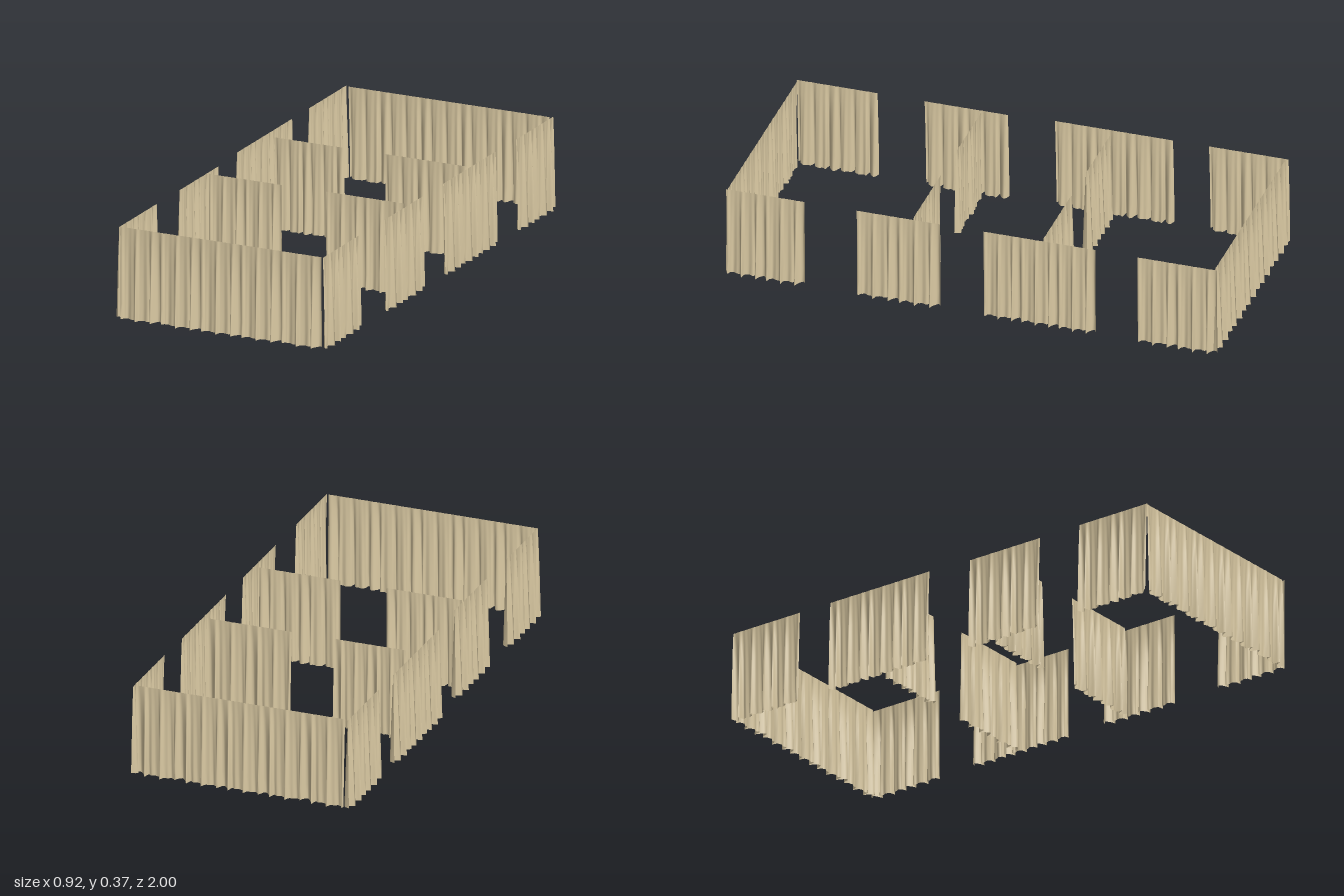
import * as THREE from 'three';

const HEIGHT = 0.368;
const COLS = 32; // columns per cloth width
const ROWS = 6;

const cloth = new THREE.MeshStandardMaterial({ color: 0xdccba4, side: THREE.DoubleSide });

// Depth of the folds across one cloth width, t from 0 to 1, range about -1..1
function foldDepth(t) {
  const a = t * Math.PI * 2;
  return 0.55 * Math.sin(3 * a + 0.9 * Math.sin(a)) + 0.3 * Math.sin(5 * a + 1.3) + 0.2 * Math.sin(8 * a + 0.4);
}

// A hanging cloth along x: flat at the rail, folds opening toward the hem
function drapeGeometry(length, widths, flip) {
  const columns = COLS * widths;
  const geometry = new THREE.PlaneGeometry(length, HEIGHT, columns, ROWS);
  const p = geometry.attributes.position;
  for (let i = 0; i < p.count; i++) {
    const column = i % (columns + 1);
    const drop = Math.floor(i / (columns + 1)) / ROWS; // 0 at the rail, 1 at the hem
    const u = column / columns;
    const t = (column % COLS) / COLS;
    const open = Math.pow(drop, 0.7);
    const sway = 0.005 * open * Math.sin(6 * Math.PI * t + 1.2);
    const hemLift = 0.008 * drop * Math.pow(Math.abs(2 * t - 1), 4) * (0.5 + 0.5 * Math.sin(9 * u));
    p.setXYZ(
      i,
      (u - 0.5) * length + sway,
      (1 - drop) * HEIGHT + hemLift,
      flip * (0.001 + 0.0195 * open) * foldDepth(t)
    );
  }
  geometry.computeVertexNormals();
  return geometry;
}

// Runs across the width: name, z, x start, x end, cloth widths
const across = [
  ['backCurtain', -0.98, -0.43, 0.43, 5],
  ['rearRightDivider', -0.285, -0.4, -0.105, 2],
  ['rearLeftDivider', -0.285, 0.07, 0.42, 2],
  ['middleRightDivider', 0.237, -0.42, -0.11, 2],
  ['middleLeftDivider', 0.237, 0.08, 0.415, 2],
  ['frontCurtain', 0.98, -0.43, 0.43, 5],
];

// Runs along the sides: name, x, z start, z end, cloth widths
const along = [
  ['rightBackCurtain', -0.443, -0.99, -0.67, 2],
  ['rightRearCurtain', -0.443, -0.525, -0.05, 3],
  ['rightMiddleCurtain', -0.43, 0.135, 0.47, 2],
  ['rightFrontCurtain', -0.432, 0.66, 0.985, 2],
  ['leftBackCurtain', 0.44, -0.99, -0.67, 2],
  ['leftRearCurtain', 0.437, -0.5, -0.05, 3],
  ['leftMiddleCurtain', 0.437, 0.125, 0.46, 2],
  ['leftFrontCurtain', 0.437, 0.67, 0.985, 2],
];

export function createModel() {
  const model = new THREE.Group();
  model.name = 'curtains';

  function addDrape([name, offset, start, end, widths], sideways) {
    const mesh = new THREE.Mesh(drapeGeometry(end - start, widths, offset < 0 ? -1 : 1), cloth);
    const middle = (start + end) / 2;
    mesh.name = name;
    mesh.position.set(sideways ? offset : middle, 0, sideways ? middle : offset);
    if (sideways) mesh.rotation.y = Math.PI / 2;
    model.add(mesh);
  }

  across.forEach((run) => addDrape(run, false));
  along.forEach((run) => addDrape(run, true));
  return model;
}
